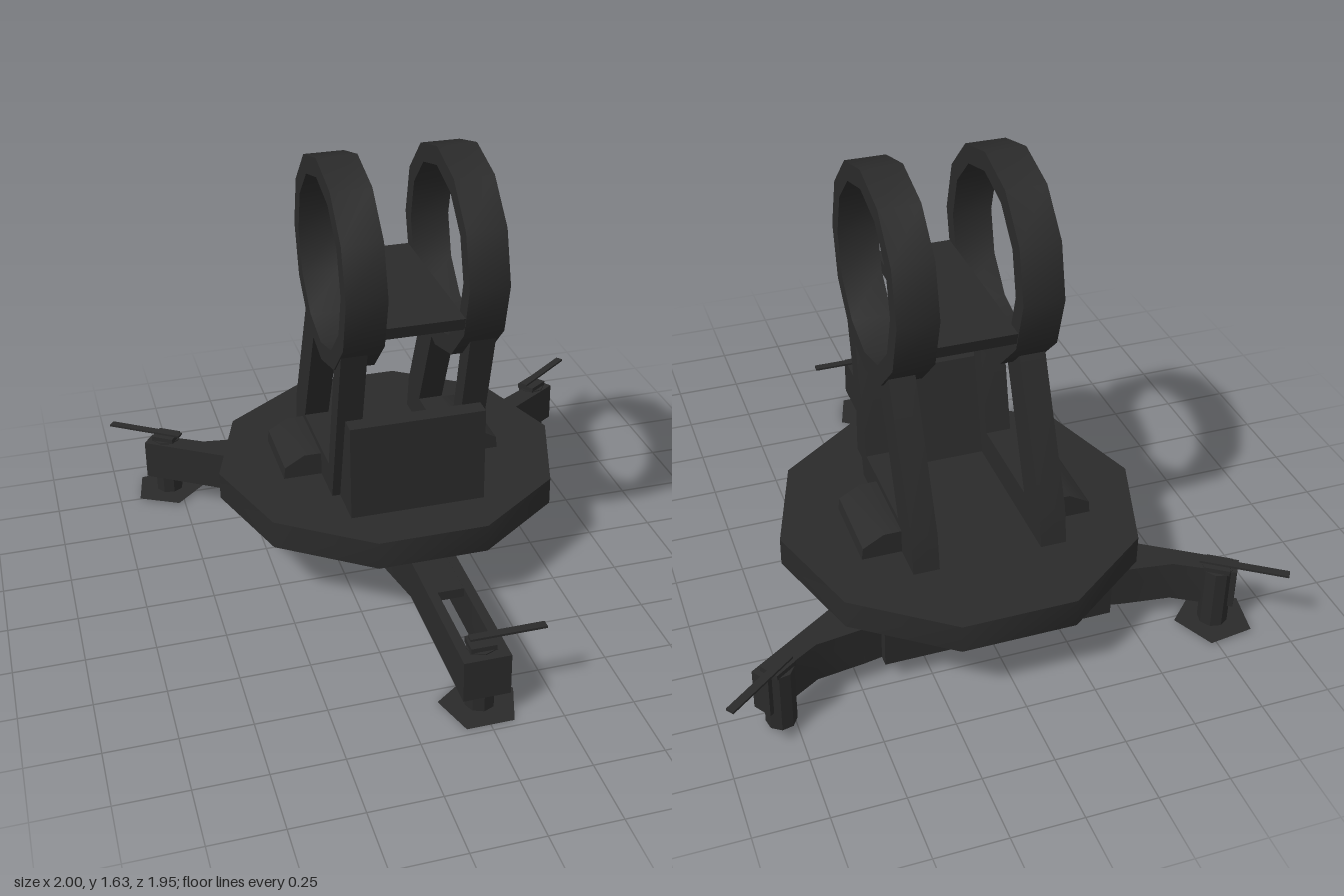
import * as THREE from 'three';
import { toCreasedNormals } from 'three/addons/utils/BufferGeometryUtils.js';

export function createModel() {
  const root = new THREE.Group();
  root.name = 'ringCradleStand';
  const paint = new THREE.MeshStandardMaterial({ color: 0x2a2a2a, side: THREE.DoubleSide });
  paint.name = 'charcoal';

  const add = (name, geo, x = 0, y = 0, z = 0, turn = 0) => {
    const mesh = new THREE.Mesh(toCreasedNormals(geo, 0.7), paint);
    mesh.name = name;
    mesh.position.set(x, y, z);
    mesh.rotation.y = turn;
    root.add(mesh);
  };
  const box = (name, w, h, d, x, y, z, turn) =>
    add(name, new THREE.BoxGeometry(w, h, d), x, y, z, turn);
  const toPoints = (pts) => pts.map(([x, y]) => new THREE.Vector2(x, y));
  // Holes run opposite to the outline so their walls face inward
  const shapeOf = (pts, hole) => {
    const shape = new THREE.Shape(toPoints(pts));
    if (hole) shape.holes.push(new THREE.Path(toPoints(hole).reverse()));
    return shape;
  };
  const extrude = (shape, depth) =>
    new THREE.ExtrudeGeometry(shape, { depth, bevelEnabled: false });
  // Side profile in (z, y), extruded along x from 0 to width
  const sideExtrude = (shape, width) =>
    extrude(shape, width).rotateY(-Math.PI / 2).translate(width, 0, 0);
  const mirrored = (pts) => [...pts, ...pts.slice().reverse().map(([x, z]) => [-x, z])];

  // Three-armed base: hollow walled frame, plan in (x, z), rear wall standing proud
  const base = shapeOf(mirrored([
    [0.083, 0.93], [0.083, 0.32], [0.16, -0.05], [0.42, -0.48], [0.585, -0.595],
    [0.88, -0.79], [0.84, -0.85], [0.65, -0.735], [0.48, -0.712], [0.415, -0.7], [0.415, -0.74],
  ]), mirrored([
    [0.048, 0.89], [0.048, 0.32], [0.125, -0.06], [0.39, -0.51], [0.51, -0.61],
    [0.45, -0.67], [0.38, -0.705],
  ]));
  add('baseFrame', extrude(base, 0.155).rotateX(Math.PI / 2), 0, 0.236, 0);
  box('armBridge', 0.12, 0.035, 0.28, 0, 0.218, 0.39);

  // Ten-sided turntable
  add('turntable', new THREE.CylinderGeometry(0.659, 0.659, 0.106, 10).rotateY(Math.PI / 2), 0, 0.289, -0.293);

  // Levelling feet: post, cap and handle
  const feet = [
    { x: 0, z: 0.853, turn: 0, bottom: 0.002, hx: 0.095, hy: 0.272, hz: 0.85, len: 0.27, hturn: 0 },
    { x: 0.795, z: -0.803, turn: 0.6, bottom: 0.01, hx: 0.87, hy: 0.261, hz: -0.875, len: 0.3, hturn: 0.66 },
    { x: -0.79, z: -0.803, turn: -0.6, bottom: 0.01, hx: -0.865, hy: 0.261, hz: -0.855, len: 0.31, hturn: -0.6 },
  ];
  for (const f of feet) {
    const height = 0.24 - f.bottom;
    add('footPost', new THREE.CylinderGeometry(0.053, 0.053, height, 8), f.x, f.bottom + height / 2, f.z, f.turn);
    box('footCap', 0.09, 0.02, 0.075, f.x, 0.247, f.z, f.turn);
    box('footHandle', f.len, 0.008, 0.03, f.hx, f.hy, f.hz, f.hturn);
  }
  // Flat five-sided ground pads under two of the feet
  const pad = (start) => new THREE.CircleGeometry(0.142, 5, start).rotateX(Math.PI / 2);
  add('frontPad', pad(-Math.PI / 2), 0, 0, 0.858);
  add('rearPad', pad(0.18), -0.794, 0.008, -0.802);

  // Side frames: slanted front and rear legs joined by a sill
  const legProfile = shapeOf([
    [-0.02, 0.342], [0.17, 1.03], [0.08, 0.95], [0.05, 0.9], [-0.065, 0.455],
    [-0.45, 0.455], [-0.25, 0.9], [-0.35, 1.0], [-0.595, 0.475], [-0.62, 0.342],
  ]);
  for (const x of [-0.285, 0.18]) add('sideFrame', sideExtrude(legProfile, 0.094), x, 0, 0);

  // Front panel reaching back to the slanted legs
  const panel = shapeOf([[0.147, 0.342], [0.147, 0.708], [0.08, 0.708], [-0.02, 0.342]]);
  add('frontPanel', sideExtrude(panel, 0.505), -0.255, 0, 0);

  // Twelve-sided upright rings
  const circle = (r) => Array.from({ length: 12 }, (_, i) => {
    const a = (i * Math.PI) / 6;
    return [r * Math.sin(a), r * Math.cos(a)];
  });
  const ring = shapeOf(circle(0.381), circle(0.312));
  for (const x of [-0.29, 0.138]) add('cradleRing', sideExtrude(ring, 0.146), x, 1.245, -0.115);

  // Plate joining the two rings
  const plate = shapeOf([[-0.333, 0], [0.333, 0], [0.346, 0.046], [-0.346, 0.046]]);
  add('crossPlate', sideExtrude(plate, 0.283), -0.145, 1.08, -0.115);

  // Chamfered housings beside the frames
  const housing = shapeOf([[0, 0], [0.155, 0], [0.15, 0.045], [0.075, 0.088], [0, 0.088]]);
  add('leftHousing', extrude(housing, 0.3), 0.263, 0.342, -0.488);
  add('rightHousing', extrude(housing, 0.3), -0.275, 0.342, -0.188, Math.PI);

  return root;
}
